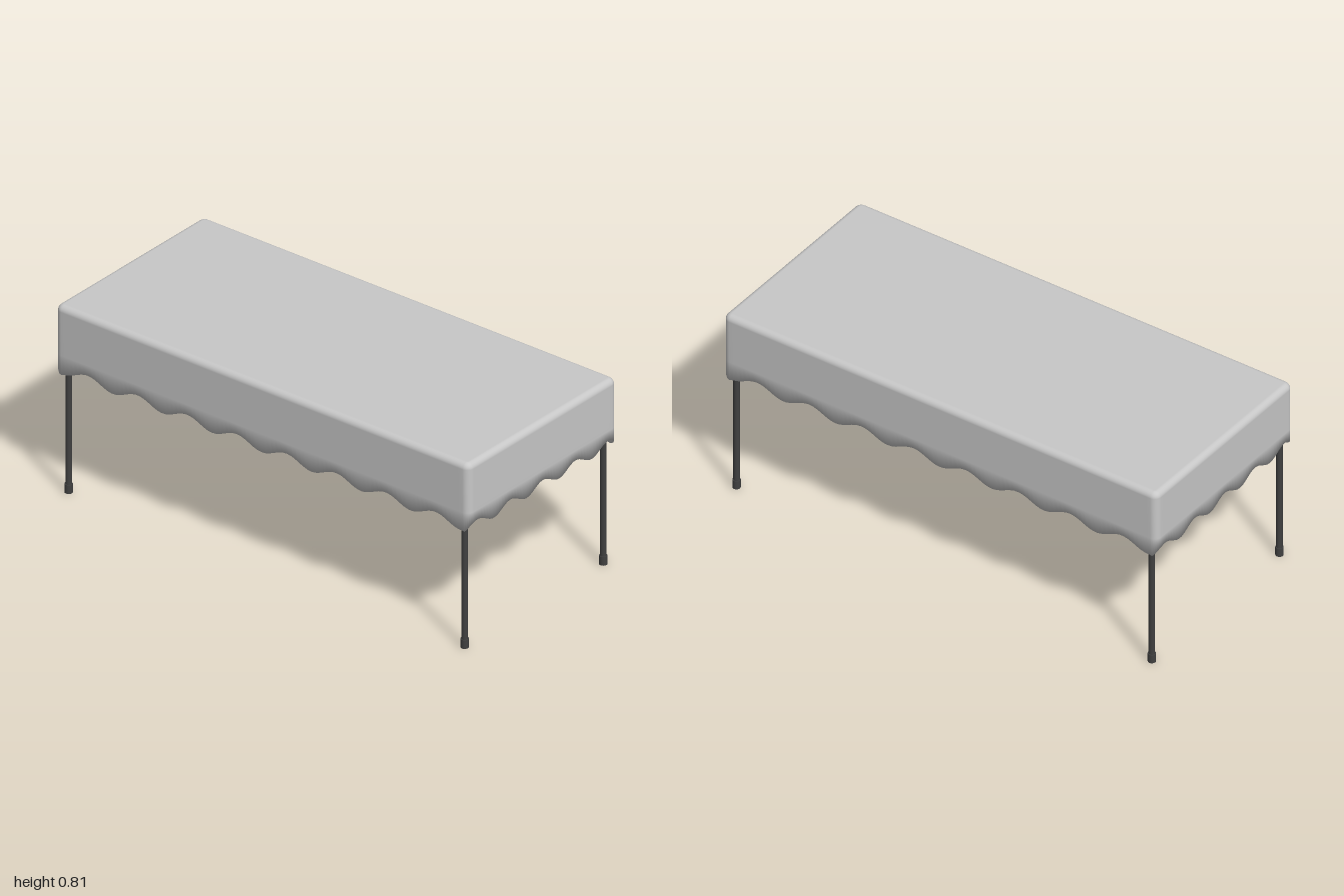
import * as THREE from 'three';

const HX = 1, HZ = 0.445, TOP = 0.805; // cloth half sizes and height
const R = 0.03, FILLET = 0.025, THICK = 0.005;

// Scalloped hem heights along the long and short sides
const longHem = x => 0.535 - 0.018 * Math.cos(2 * Math.PI * x / 0.24);
const shortHem = z => 0.536 + 0.018 * Math.cos(2 * Math.PI * z / 0.195);

// Rounded-rectangle outline: base point, outward normal and hem height
function outline() {
  const pts = [], bx = HX - R, bz = HZ - R, arc = 6;
  const side = (x0, z0, x1, z1, nx, nz, n) => {
    for (let i = 0; i < n; i++) {
      const t = i / n, x = x0 + (x1 - x0) * t, z = z0 + (z1 - z0) * t;
      pts.push({ x, z, nx, nz, hem: nx ? shortHem(z) : longHem(x) });
    }
  };
  const corner = (x, z, a0) => {
    for (let i = 0; i < arc; i++) {
      const a = a0 + (i / arc) * Math.PI / 2, nx = Math.cos(a), nz = Math.sin(a);
      const w = nx * nx;
      pts.push({ x, z, nx, nz, hem: shortHem(z) * w + 0.512 * (1 - w) });
    }
  };
  side(bx, -bz, bx, bz, 1, 0, 50);
  corner(bx, bz, 0);
  side(bx, bz, -bx, bz, 0, 1, 96);
  corner(-bx, bz, Math.PI / 2);
  side(-bx, bz, -bx, -bz, -1, 0, 50);
  corner(-bx, -bz, Math.PI);
  side(-bx, -bz, bx, -bz, 0, -1, 96);
  corner(bx, -bz, Math.PI * 1.5);
  return pts;
}

// Thin closed shell: outer skin down to the hem, then back up the inside
function clothGeometry() {
  const pts = outline(), n = pts.length;
  const outer = [];
  for (let i = 0; i <= 6; i++) {
    const a = (i / 6) * Math.PI / 2;
    outer.push({ d: R - FILLET + FILLET * Math.sin(a), y: TOP - FILLET + FILLET * Math.cos(a) });
  }
  outer.push({ d: R, y: 0.595 }, { d: R, hem: true });
  const inner = outer.map(r => ({ ...r, d: r.d - THICK, y: r.y > 0.6 ? r.y - THICK : r.y })).reverse();
  const rings = [...outer, ...inner];

  const pos = [], idx = [];
  for (const r of rings) {
    for (const p of pts) pos.push(p.x + p.nx * r.d, r.hem ? p.hem : r.y, p.z + p.nz * r.d);
  }
  const last = rings.length - 1, c0 = rings.length * n, c1 = c0 + 1;
  pos.push(0, TOP, 0, 0, TOP - THICK, 0);
  for (let j = 0; j < n; j++) {
    const k = (j + 1) % n;
    for (let i = 0; i < last; i++) {
      const a = i * n + j, b = i * n + k, c = a + n, d = b + n;
      idx.push(a, b, c, b, d, c);
    }
    idx.push(c0, k, j, c1, last * n + j, last * n + k);
  }
  const g = new THREE.BufferGeometry();
  g.setAttribute('position', new THREE.Float32BufferAttribute(pos, 3));
  g.setIndex(idx);
  g.computeVertexNormals();

  // Soft rolled hem: both skins turn downward at the edge
  const nor = g.attributes.normal, v = new THREE.Vector3();
  rings.forEach((r, i) => {
    if (!r.hem) return;
    const s = i < outer.length ? 1 : -1;
    pts.forEach((p, j) => {
      v.set(p.nx * s * 0.55, -0.83, p.nz * s * 0.55).normalize();
      nor.setXYZ(i * n + j, v.x, v.y, v.z);
    });
  });
  return g;
}

export function createModel() {
  const model = new THREE.Group();
  model.name = 'clothedTable';
  const clothGrey = new THREE.MeshStandardMaterial({ color: 0xc8c8c8 });
  clothGrey.name = 'cloth grey';
  const legDark = new THREE.MeshStandardMaterial({ color: 0x404040 });
  legDark.name = 'leg dark grey';

  const cloth = new THREE.Mesh(clothGeometry(), clothGrey);
  cloth.name = 'tablecloth';
  model.add(cloth);

  // Four slim legs with rubber feet
  const legGeo = new THREE.CylinderGeometry(0.0125, 0.0125, 0.67, 20).translate(0, 0.365, 0);
  const footGeo = new THREE.CylinderGeometry(0.016, 0.016, 0.037, 20).translate(0, 0.0185, 0);
  for (const [sx, xName] of [[1, 'Left'], [-1, 'Right']]) {
    for (const [sz, zName] of [[1, 'front'], [-1, 'back']]) {
      const leg = new THREE.Group();
      leg.name = zName + xName + 'Leg';
      const pole = new THREE.Mesh(legGeo, legDark);
      pole.name = 'pole';
      const foot = new THREE.Mesh(footGeo, legDark);
      foot.name = 'foot';
      leg.add(pole, foot);
      leg.position.set(sx * 0.957, 0, sz * 0.415);
      model.add(leg);
    }
  }
  return model;
}
